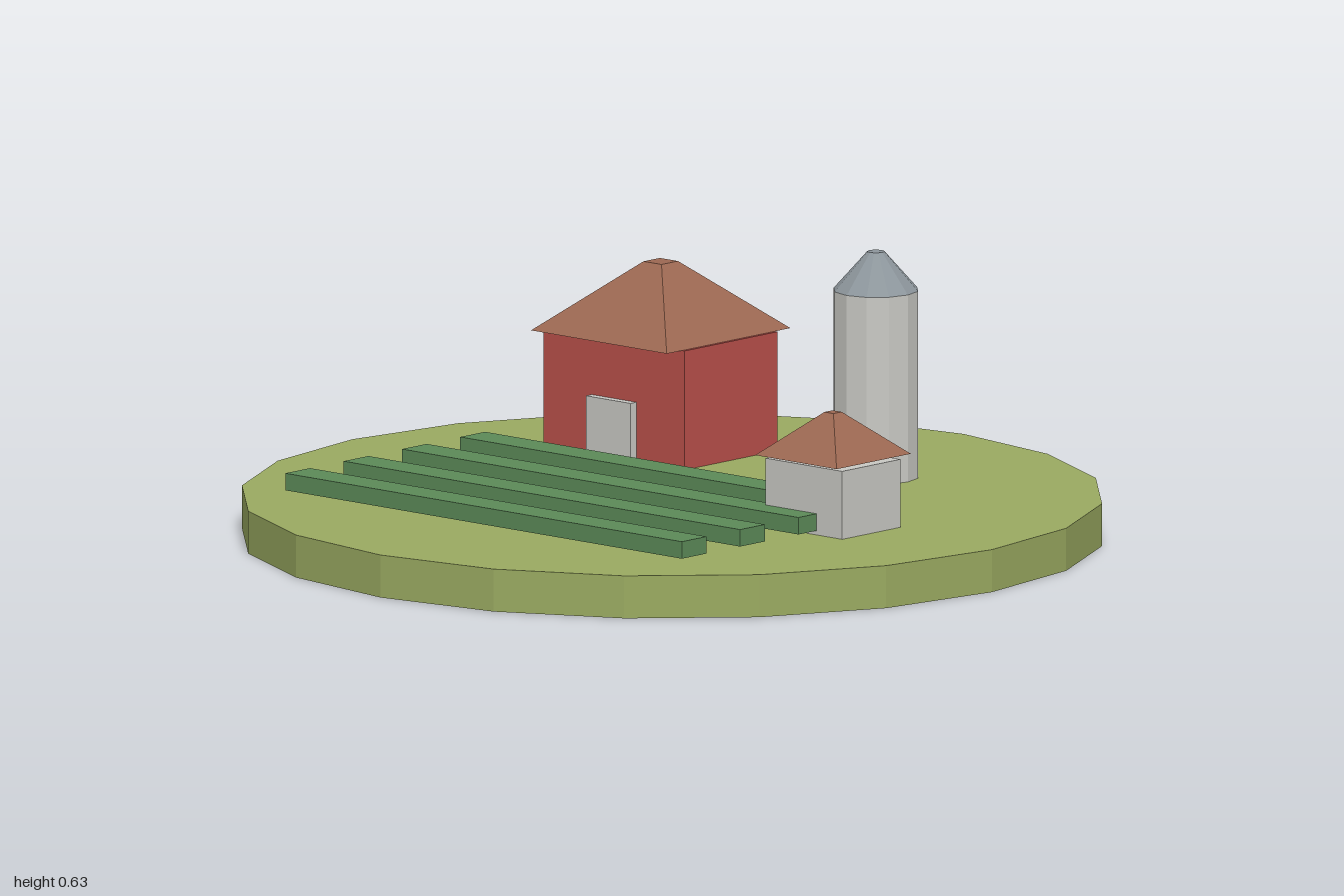
import * as THREE from 'three';

export function createModel() {
  const model = new THREE.Group();
  model.name = 'farm';

  const paint = (name, color) => {
    const m = new THREE.MeshStandardMaterial({ color, flatShading: true });
    m.name = name;
    return m;
  };
  const grass = paint('grass green', 0x9aaa61);
  const barnRed = paint('barn red', 0xb9504a);
  const roofBrown = paint('roof brown', 0x9c6852);
  const paleGrey = paint('pale grey', 0xc9c9c4);
  const steel = paint('steel grey', 0x8d969c);
  const crop = paint('crop green', 0x5c8a58);

  // Places a geometry so that its underside sits at the given y
  const add = (name, geometry, material, x, y, z, height) => {
    const mesh = new THREE.Mesh(geometry, material);
    mesh.name = name;
    mesh.position.set(x, y + height / 2, z);
    model.add(mesh);
    return mesh;
  };
  const box = (name, material, w, h, d, x, y, z) =>
    add(name, new THREE.BoxGeometry(w, h, d), material, x, y, z, h);
  const drum = (name, material, top, bottom, h, sides, x, y, z) =>
    add(name, new THREE.CylinderGeometry(top, bottom, h, sides), material, x, y, z, h);
  // Four-sided roof with a small flat top, edges parallel to the walls
  const hipRoof = (name, top, bottom, h, x, y, z) => {
    drum(name, roofBrown, top, bottom, h, 4, x, y, z).rotation.y = Math.PI / 4;
  };

  // Round field
  drum('field', grass, 1, 1, 0.1, 20, 0, 0, 0);

  // Barn
  box('barnWalls', barnRed, 0.44, 0.28, 0.32, -0.4, 0.1, -0.4);
  hipRoof('barnRoof', 0.04, 0.3, 0.16, -0.4, 0.38, -0.4);
  box('barnDoor', paleGrey, 0.14, 0.14, 0.02, -0.4, 0.1, -0.23);

  // Silo
  drum('siloBody', paleGrey, 0.1, 0.1, 0.44, 12, 0.2, 0.1, -0.48);
  drum('siloCap', steel, 0.02, 0.1, 0.09, 12, 0.2, 0.54, -0.48);

  // Shed
  box('shedWalls', paleGrey, 0.24, 0.16, 0.2, 0.54, 0.1, 0.04);
  hipRoof('shedRoof', 0.02, 0.18, 0.1, 0.54, 0.27, 0.04);

  // Crop rows
  for (let i = 0; i < 4; i++) {
    box('cropRow' + (i + 1), crop, 1.24, 0.04, 0.085, -0.04, 0.11, -0.04 + i * 0.2);
  }

  return model;
}
